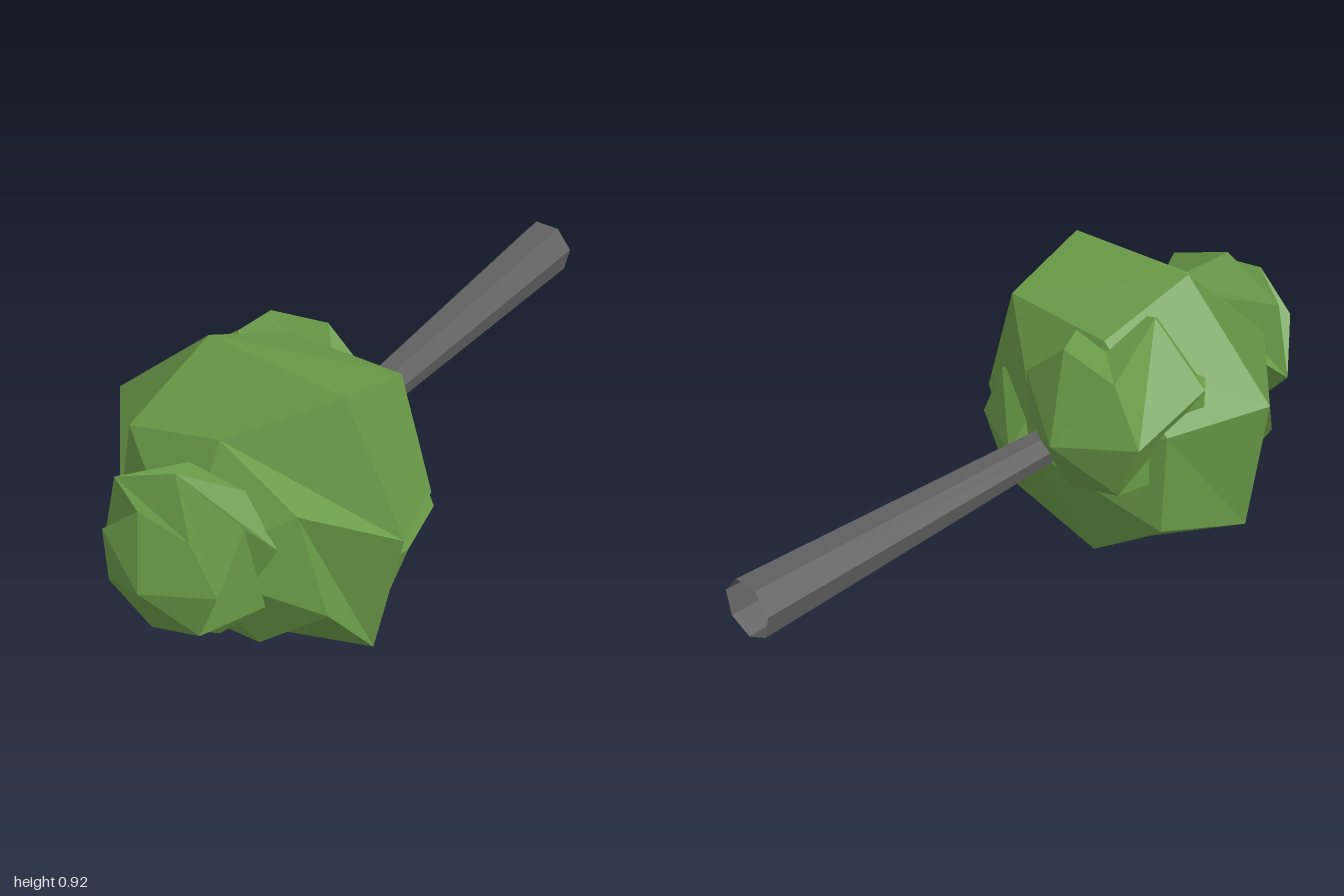
import * as THREE from 'three';

const SIDES = 7;

// One ring of crown points: depth z, centre, radius (or a radius per corner), phase in degrees
function ring([z, cx, cy, radius, phase = 0]) {
  return Array.from({ length: SIDES }, (_, i) => {
    const a = THREE.MathUtils.degToRad(phase + (i * 360) / SIDES);
    const r = Array.isArray(radius) ? radius[i] : radius;
    return new THREE.Vector3(cx + r * Math.cos(a), cy + r * Math.sin(a), z);
  });
}

// Skin the rings from front to back; the longer diagonal gives the twisted, pinwheel facets
function foliage(name, sections, material) {
  const rings = sections.map(ring);
  const last = rings.length - 1;
  const pos = [];
  const tri = (...corners) => corners.forEach((p) => pos.push(p.x, p.y, p.z));
  for (let k = 0; k < last; k++) {
    for (let i = 0; i < SIDES; i++) {
      const j = (i + 1) % SIDES;
      const a = rings[k][i], a2 = rings[k][j];
      const b = rings[k + 1][i], b2 = rings[k + 1][j];
      if (k === 0) {
        tri(a, b, b2);
      } else if (k === last - 1) {
        tri(a, b, a2);
      } else if (a.distanceTo(b2) > a2.distanceTo(b)) {
        tri(a, b, b2);
        tri(a, b2, a2);
      } else {
        tri(a, b, a2);
        tri(a2, b, b2);
      }
    }
  }
  const geometry = new THREE.BufferGeometry();
  geometry.setAttribute('position', new THREE.Float32BufferAttribute(pos, 3));
  geometry.computeVertexNormals();
  const mesh = new THREE.Mesh(geometry, material);
  mesh.name = name;
  return mesh;
}

export function createModel() {
  const tree = new THREE.Group();
  tree.name = 'lyingTree';
  const leaf = new THREE.MeshStandardMaterial({ color: 0x6a9a48, flatShading: true });
  const bark = new THREE.MeshStandardMaterial({ color: 0x606060, flatShading: true, side: THREE.DoubleSide });

  // Open tapered trunk pointing backwards
  const trunkGeometry = new THREE.CylinderGeometry(0.05, 0.085, 1.05, SIDES, 1, true);
  trunkGeometry.rotateX(Math.PI / 2);
  const trunk = new THREE.Mesh(trunkGeometry, bark);
  trunk.name = 'trunk';
  trunk.position.set(0.003, 0.488, -0.475);
  tree.add(trunk);

  // Large middle clump
  tree.add(foliage('mainFoliage', [
    [0.81, 0.02, 0.48, 0],
    [0.65, 0.01, 0.47, [0.31, 0.32, 0.367, 0.33, 0.347, 0.32, 0.358], 35.4],
    [0.455, 0.01, 0.48, [0.445, 0.5, 0.475, 0.495, 0.48, 0.479, 0.495], 6.5],
    [0.185, 0, 0.46, [0.36, 0.44, 0.36, 0.36, 0.36, 0.36, 0.37], 2],
    [0.04, 0.01, 0.46, 0],
  ], leaf));

  // Small clump at the tip of the crown
  tree.add(foliage('tipFoliage', [
    [1.0, 0.03, 0.535, 0],
    [0.92, 0.03, 0.54, 0.185, -48],
    [0.82, 0.03, 0.54, [0.26, 0.259, 0.25, 0.258, 0.264, 0.26, 0.235], -11],
    [0.69, 0.03, 0.53, 0.2, -44],
    [0.6, 0.03, 0.53, 0],
  ], leaf));

  // Clump on the right of the trunk
  tree.add(foliage('rightRearFoliage', [
    [0.56, -0.1, 0.59, 0],
    [0.45, -0.1, 0.59, 0.19, -20],
    [0.31, -0.1, 0.59, 0.275, 0],
    [0.085, -0.1, 0.59, 0.22, 22],
    [-0.04, -0.11, 0.58, 0],
  ], leaf));

  // Clump on the left of the trunk
  tree.add(foliage('leftRearFoliage', [
    [0.63, 0.13, 0.41, 0],
    [0.53, 0.13, 0.41, 0.19, -15],
    [0.39, 0.13, 0.41, 0.295, 7],
    [0.155, 0.13, 0.41, 0.22, -2],
    [0.03, 0.12, 0.42, 0],
  ], leaf));
  return tree;
}
